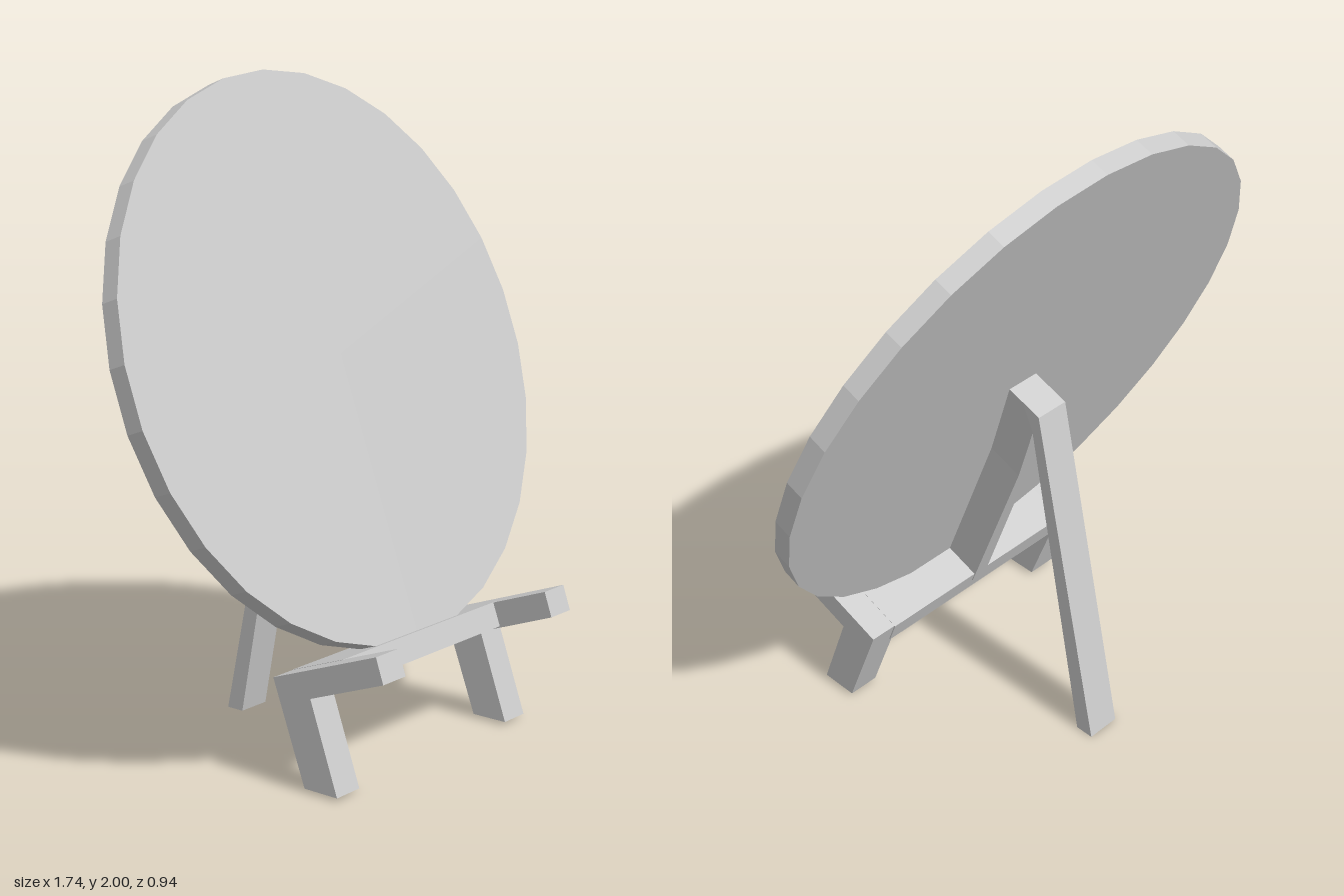
import * as THREE from 'three';

const TILT = THREE.MathUtils.degToRad(20);
const material = new THREE.MeshStandardMaterial({ color: 0xcccccc, flatShading: true });

function part(name, geometry, parent) {
  const mesh = new THREE.Mesh(geometry, material);
  mesh.name = name;
  parent.add(mesh);
  return mesh;
}

function shapeOf(points) {
  return new THREE.Shape(points.map(([a, b]) => new THREE.Vector2(a, b)));
}

// Side profile given as [z, y] points, extruded across x and centred there.
function sideExtrude(points, width) {
  const g = new THREE.ExtrudeGeometry(shapeOf(points), { depth: width, bevelEnabled: false });
  g.translate(0, 0, -width / 2);
  g.rotateY(-Math.PI / 2);
  return g;
}

export function createModel() {
  const model = new THREE.Group();
  model.name = 'discOnEasel';

  // Parts leaning back: local y runs up the slope, local z out of the disc face.
  const leaning = new THREE.Group();
  leaning.name = 'leaningParts';
  leaning.rotation.x = -TILT;
  model.add(leaning);

  // Round panel
  const disc = new THREE.CylinderGeometry(0.875, 0.875, 0.061, 30);
  disc.rotateX(Math.PI / 2);
  part('disc', disc, leaning).position.set(0, 1.125, 0.325);

  // Ledge under the disc
  part('ledge', new THREE.BoxGeometry(0.74, 0.076, 0.2), leaning).position.set(0, 0.236, 0.276);

  // Spine behind the disc, flaring out toward its top
  const spine = new THREE.ExtrudeGeometry(
    shapeOf([[-0.027, 0.24], [0.027, 0.24], [0.022, 0.81], [0.055, 1.123], [-0.055, 1.123], [-0.022, 0.81]]),
    { depth: 0.124, bevelEnabled: false });
  part('spine', spine, leaning).position.z = 0.173;

  // Front legs, each with an arm reaching forward
  const legProfile = [[0.19, 0.01], [0.31, 0.01], [0.213, 0.283], [0.475, 0.379], [0.449, 0.454], [0.075, 0.318]];
  for (const [side, name] of [[1, 'leftFrontLeg'], [-1, 'rightFrontLeg']]) {
    part(name, sideExtrude(legProfile, 0.1), model).position.x = side * 0.408;
  }

  // Rear strut
  const strutProfile = [[-0.47, 0], [-0.41, 0], [-0.2, 1.055], [-0.16, 1.139], [-0.225, 1.115]];
  part('rearStrut', sideExtrude(strutProfile, 0.11), model);

  return model;
}
